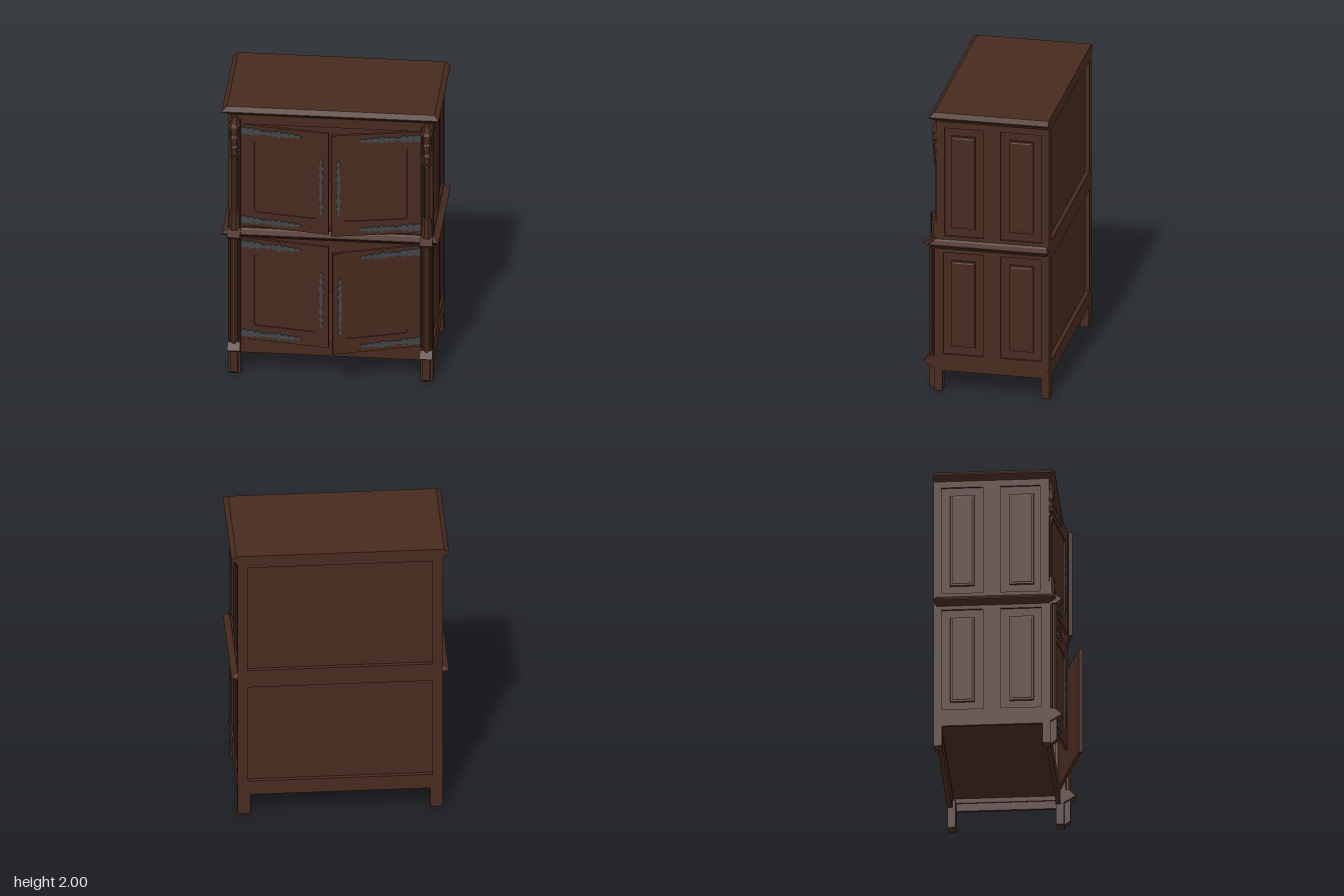
import * as THREE from 'three';

const wood = new THREE.MeshStandardMaterial({ color: 0x472a1f });
wood.name = 'dark wood';
const iron = new THREE.MeshStandardMaterial({ color: 0x414648 });
iron.name = 'wrought iron';

function add(parent, name, geometry, material = wood) {
  const mesh = new THREE.Mesh(geometry, material);
  mesh.name = name;
  parent.add(mesh);
  return mesh;
}

// Box given by its limits
function slab(parent, name, x0, x1, y0, y1, z0, z1) {
  const g = new THREE.BoxGeometry(x1 - x0, y1 - y0, z1 - z0);
  g.translate((x0 + x1) / 2, (y0 + y1) / 2, (z0 + z1) / 2);
  return add(parent, name, g);
}

// Flat-faced solid through stacked rectangles [y, x0, x1, z0, z1]
function loft(layers) {
  const pos = [], idx = [], n = layers.length;
  for (const [y, x0, x1, z0, z1] of layers) pos.push(x0, y, z1, x1, y, z1, x1, y, z0, x0, y, z0);
  for (let i = 0; i < n - 1; i++) {
    for (let j = 0; j < 4; j++) {
      const a = i * 4 + j, b = i * 4 + (j + 1) % 4;
      idx.push(a, b, b + 4, a, b + 4, a + 4);
    }
  }
  const t = (n - 1) * 4;
  idx.push(0, 2, 1, 0, 3, 2, t, t + 1, t + 2, t, t + 2, t + 3);
  const g = new THREE.BufferGeometry();
  g.setAttribute('position', new THREE.Float32BufferAttribute(pos, 3));
  g.setIndex(idx);
  const flat = g.toNonIndexed();
  flat.computeVertexNormals();
  return flat;
}

// Raised field with a moulded edge, rising along +y, centred
function raisedField(w, d, rise) {
  const r = (h, m) => [h, -w / 2 + m, w / 2 - m, -d / 2 + m, d / 2 - m];
  return loft([r(0, 0), r(rise * 0.8, 0.003), r(rise * 0.8, 0.014), r(rise, 0.02)]);
}

// Plate with holes [x0, x1, y0, y1] whose corners are cut by r, extruded along +z
function frame(x0, x1, y0, y1, holes, depth, r = 0) {
  const s = new THREE.Shape().moveTo(x0, y0).lineTo(x1, y0).lineTo(x1, y1).lineTo(x0, y1).closePath();
  for (const [a, b, c, d] of holes) {
    const p = new THREE.Path().moveTo(a + r, c).lineTo(b - r, c);
    if (r) p.quadraticCurveTo(b, c, b, c + r);
    p.lineTo(b, d - r);
    if (r) p.quadraticCurveTo(b, d, b - r, d);
    p.lineTo(a + r, d);
    if (r) p.quadraticCurveTo(a, d, a, d - r);
    p.lineTo(a, c + r);
    if (r) p.quadraticCurveTo(a, c, a + r, c);
    s.holes.push(p);
  }
  return new THREE.ExtrudeGeometry(s, { depth, bevelEnabled: false, curveSegments: 4 });
}

// Symmetrical ironwork plate from [distance, half width] pairs
function ironPlate(profile, s) {
  const pts = profile.map(([u, h]) => new THREE.Vector2(-s * u, h));
  const back = profile.map(([u, h]) => new THREE.Vector2(-s * u, -h)).reverse();
  return new THREE.ExtrudeGeometry(new THREE.Shape([...pts, ...back]), { depth: 0.006, bevelEnabled: false });
}

const STRAP = [[0, 0.024], [0.03, 0.026], [0.045, 0.018], [0.075, 0.03], [0.09, 0.014], [0.115, 0.027], [0.14, 0.011],
  [0.17, 0.011], [0.19, 0.02], [0.21, 0.009], [0.22, 0.022], [0.24, 0.013], [0.265, 0.031], [0.28, 0.01],
  [0.31, 0.021], [0.33, 0.008], [0.35, 0.02], [0.37, 0.007], [0.395, 0.014], [0.41, 0.002]];
const HANDLE = [[-0.21, 0.002], [-0.19, 0.013], [-0.17, 0.005], [-0.14, 0.016], [-0.12, 0.005], [-0.08, 0.017],
  [-0.05, 0.007], [0, 0.015], [0.05, 0.007], [0.08, 0.017], [0.12, 0.005], [0.14, 0.016], [0.17, 0.005],
  [0.19, 0.013], [0.21, 0.002]];

// Door hung at the origin, reaching towards the middle; s is its side
function door(name, s, height, angle) {
  const g = new THREE.Group();
  g.name = name;
  const W = 0.598, x = (u) => -s * u;
  const span = (a, b) => [Math.min(x(a), x(b)), Math.max(x(a), x(b))];
  slab(g, 'doorPanel', ...span(0.02, W - 0.02), 0.02, height - 0.02, -0.02, -0.008);
  const hole = [...span(0.09, 0.512), 0.108, height - 0.102];
  add(g, 'doorFrame', frame(...span(0, W), 0, height, [hole], 0.02, 0.022)).position.z = -0.02;
  if (s > 0) slab(g, 'doorCoverStrip', ...span(W - 0.03, W), 0.005, height - 0.005, 0, 0.007);
  for (const y of [0.045, height - 0.045]) add(g, 'strapHinge', ironPlate(STRAP, s), iron).position.y = y;
  const plate = add(g, 'handlePlate', ironPlate(HANDLE, 1).rotateZ(Math.PI / 2), iron);
  plate.position.set(x(0.55), height * 0.47, 0);
  g.rotation.y = s * angle;
  return g;
}

// Faceted column piece
function turned(parent, name, rTop, rBottom, y0, y1, x, z, sides = 8) {
  const g = new THREE.CylinderGeometry(rTop, rBottom, y1 - y0, sides).toNonIndexed();
  g.computeVertexNormals();
  g.rotateY(Math.PI / sides);
  add(parent, name, g).position.set(x, (y0 + y1) / 2, z);
}

// Side wall with four raised panels
function side(s) {
  const g = new THREE.Group();
  g.name = s > 0 ? 'leftSide' : 'rightSide';
  const bays = [[-0.024, 0.257], [-0.418, -0.14]], rows = [[0.265, 0.995], [1.115, 1.89]];
  const holes = bays.flatMap((b) => rows.map((r) => [-b[1], -b[0], ...r]));
  const inner = s > 0 ? 0.655 : -0.655;
  slab(g, 'sideLining', Math.min(inner, s * 0.67), Math.max(inner, s * 0.67), 0.2, 1.95, -0.43, 0.27);
  const f = frame(-0.3, 0.47, 0.145, 1.95, holes, 0.02).rotateY(Math.PI / 2);
  add(g, 'sideFrame', f).position.x = s > 0 ? 0.664 : -0.684;
  for (const [z0, z1] of bays) {
    for (const [y0, y1] of rows) {
      const p = raisedField(y1 - y0 - 0.11, z1 - z0 - 0.115, 0.013).rotateZ(-s * Math.PI / 2);
      add(g, 'sidePanel', p).position.set(s * 0.67, (y0 + y1) / 2, (z0 + z1) / 2);
    }
  }
  return g;
}

// Front corner post with legs, colonnettes and carved canopy
function corner(s) {
  const g = new THREE.Group();
  g.name = s > 0 ? 'leftPost' : 'rightPost';
  const xs = s > 0 ? [0.6, 0.685] : [-0.685, -0.6], cx = s * 0.643;
  const prow = [cx - 0.024, cx + 0.024];
  slab(g, 'frontLeg', ...xs, 0, 0.2, 0.255, 0.308);
  add(g, 'legProw', loft([[0, ...prow, 0.28, 0.308], [0.03, ...prow, 0.28, 0.35], [0.2, ...prow, 0.28, 0.35]]));
  slab(g, 'backLeg', ...xs, 0, 0.2, -0.47, -0.415);
  add(g, 'footBlock', loft([[0.16, ...xs, 0.25, 0.31], [0.205, ...xs, 0.25, 0.385], [0.25, ...xs, 0.25, 0.342]]));
  slab(g, 'lowerPost', ...xs, 0.2, 1.03, 0.25, 0.31);
  turned(g, 'lowerColumn', 0.026, 0.026, 0.24, 1.03, cx, 0.326);
  for (const o of [-0.032, 0.032]) turned(g, 'lowerBead', 0.01, 0.01, 0.24, 1.03, cx + o, 0.315);
  add(g, 'middleBlock', loft([[1.022, ...xs, 0.25, 0.345], [1.055, ...xs, 0.25, 0.385], [1.098, ...xs, 0.25, 0.31]]));
  slab(g, 'upperPost', ...xs, 1.08, 1.95, 0.24, 0.288);
  turned(g, 'upperColumnBase', 0.034, 0.04, 1.085, 1.22, cx, 0.302);
  turned(g, 'upperColumn', 0.02, 0.02, 1.22, 1.62, cx, 0.292);
  for (const o of [-0.033, 0.033]) turned(g, 'upperBead', 0.009, 0.009, 1.1, 1.9, cx + o, 0.29);
  // Carved canopy: hanging point, tiers of small pinnacles and a cap
  turned(g, 'canopyPoint', 0.038, 0.003, 1.555, 1.63, cx, 0.29, 6);
  for (let i = 0; i < 3; i++) {
    const y = 1.63 + i * 0.08, r = 0.027 + i * 0.003, z = 0.288 + i * 0.005;
    turned(g, 'canopyTier', r + 0.005, r, y, y + 0.06, cx, z, 6);
    turned(g, 'canopyCollar', r, r + 0.01, y + 0.06, y + 0.08, cx, z, 6);
    for (const o of [-0.027, 0, 0.027]) {
      turned(g, 'canopyPinnacle', 0.011, 0.002, y - 0.02, y + 0.06, cx + o, z + (o ? 0.012 : 0.028), 4);
    }
  }
  turned(g, 'canopyCap', 0.022, 0.036, 1.87, 1.92, cx, 0.296, 6);
  return g;
}

export function createModel() {
  const model = new THREE.Group();
  model.name = 'cupboard';

  for (const s of [1, -1]) model.add(side(s), corner(s));

  // Carcass
  const backHoles = [[-0.615, 0.615, 0.25, 0.98], [-0.615, 0.615, 1.11, 1.91]];
  add(model, 'backFrame', frame(-0.684, 0.684, 0.145, 1.95, backHoles, 0.035)).position.z = -0.47;
  slab(model, 'backPanel', -0.66, 0.66, 0.22, 1.95, -0.442, -0.43);
  slab(model, 'floor', -0.66, 0.66, 0.232, 0.25, -0.44, 0.27);
  slab(model, 'shelf', -0.66, 0.66, 1.035, 1.08, -0.44, 0.28);
  slab(model, 'bottomRail', -0.61, 0.61, 0.148, 0.25, 0.255, 0.285);
  slab(model, 'middleRail', -0.61, 0.61, 1.01, 1.1, 0.24, 0.285);
  slab(model, 'topRail', -0.61, 0.61, 1.86, 1.95, 0.24, 0.283);

  // Mouldings
  const ring = (y, x, z1, z0 = -0.47) => [y, -x, x, z0, z1];
  add(model, 'middleMoulding', loft([ring(1.022, 0.684, 0.295, -0.45), ring(1.03, 0.692, 0.305, -0.455),
    ring(1.053, 0.725, 0.342, -0.466), ring(1.06, 0.725, 0.342, -0.466), ring(1.08, 0.694, 0.31, -0.455),
    ring(1.09, 0.684, 0.298, -0.45)]));
  add(model, 'cornice', loft([ring(1.935, 0.684, 0.295), ring(1.945, 0.692, 0.305), ring(1.966, 0.725, 0.34),
    ring(1.973, 0.725, 0.34), ring(2, 0.692, 0.308)]));

  // Doors, all a little ajar
  const doors = [['upperLeftDoor', 1, 1.104, 0.19], ['upperRightDoor', -1, 1.104, 0.147],
    ['lowerLeftDoor', 1, 0.254, 0.305], ['lowerRightDoor', -1, 0.254, 0.147]];
  for (const [name, s, y, angle] of doors) {
    const d = door(name, s, 0.756, angle);
    d.position.set(s * 0.6, y, 0.287);
    model.add(d);
  }
  return model;
}
